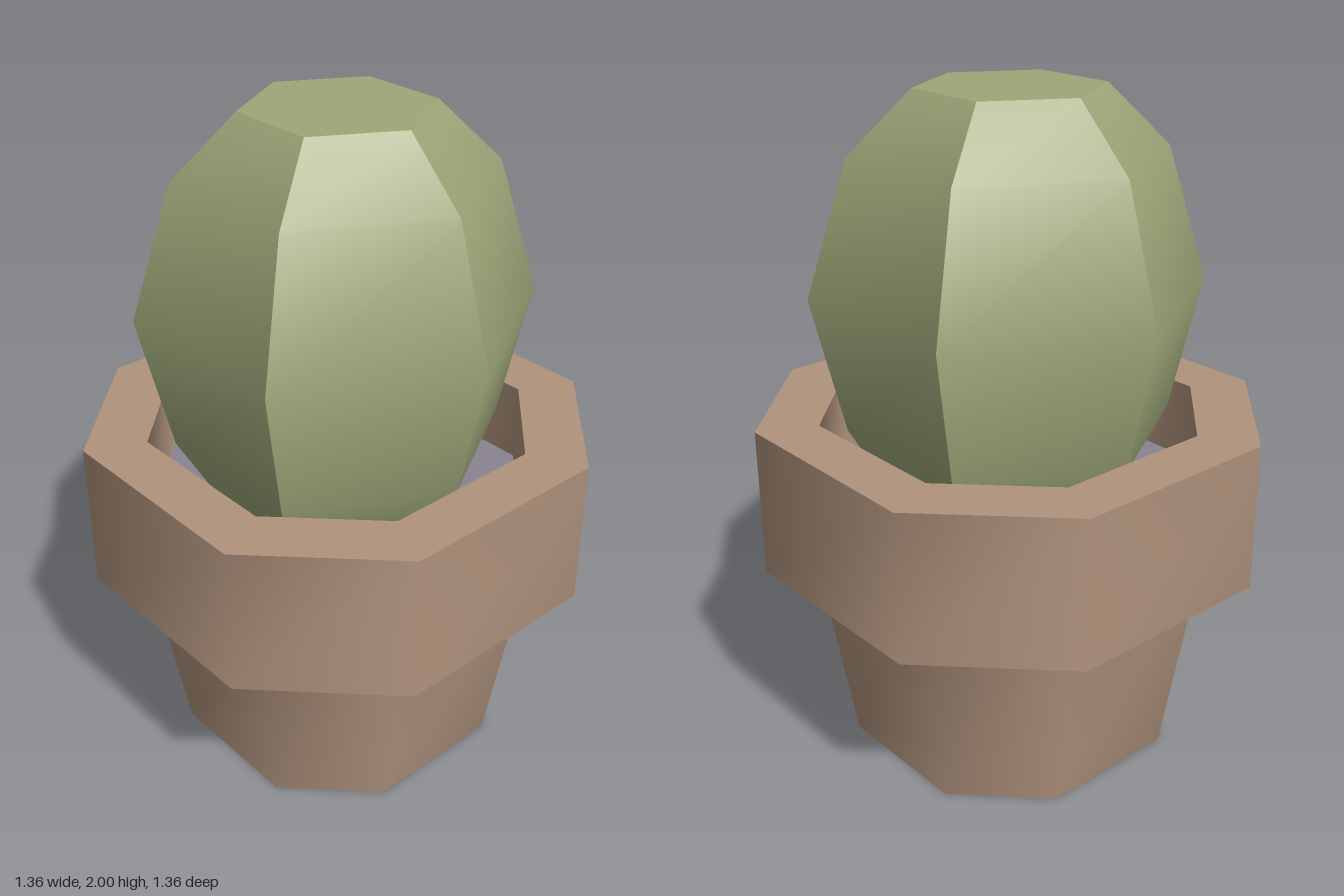
import * as THREE from 'three';
import { mergeGeometries } from 'three/addons/utils/BufferGeometryUtils.js';

const clay = new THREE.MeshStandardMaterial({ color: 0xb0937d });
clay.name = 'clay';
const green = new THREE.MeshStandardMaterial({ color: 0x9da778 });
green.name = 'cactusGreen';
const soilGrey = new THREE.MeshStandardMaterial({ color: 0x8a8492 });
soilGrey.name = 'soilGrey';

// Unit outlines, running from +z towards +x: a square with cut corners, and a hexagon
const c = 0.485;
const octagon = [[-c, 1], [c, 1], [1, c], [1, -c], [c, -1], [-c, -1], [-1, -c], [-1, c]];
const hexagon = Array.from({ length: 6 }, (_, i) => [Math.sin(i * Math.PI / 3), Math.cos(i * Math.PI / 3)]);

// Skin over [radius, y] rings; normals are smooth inside one skin
function skin(points, rings, closed = true) {
  const n = points.length;
  const positions = [];
  const index = [];
  for (const [r, y] of rings) for (const [x, z] of points) positions.push(x * r, y, z * r);
  for (let k = 0; k < rings.length - 1; k++) {
    for (let i = 0; i < (closed ? n : n - 1); i++) {
      const a = k * n + i, b = k * n + (i + 1) % n;
      if (rings[k][0] > 0) index.push(a, b, b + n);
      if (rings[k + 1][0] > 0) index.push(a, b + n, a + n);
      else if (rings[k][0] > 0) index.splice(-1, 1, a + n);
    }
  }
  const geometry = new THREE.BufferGeometry();
  geometry.setAttribute('position', new THREE.Float32BufferAttribute(positions, 3));
  geometry.setIndex(index);
  geometry.computeVertexNormals();
  return geometry;
}

// One separate skin per band, so the edges between bands stay sharp
function bands(points, rings) {
  return mergeGeometries(rings.slice(1).map((ring, k) => skin(points, [rings[k], ring])));
}

export function createModel() {
  const group = new THREE.Group();
  group.name = 'pottedCactus';
  const add = (name, geometry, material) => {
    const mesh = new THREE.Mesh(geometry, material);
    mesh.name = name;
    group.add(mesh);
  };

  // Tapered pot with a closed base
  add('potBody', bands(octagon, [[0, 0], [0.453, 0], [0.543, 0.61]]), clay);

  // Thick rim: underside, outer wall, top and inner wall
  add('potRim', bands(octagon, [[0.543, 0.61], [0.68, 0.61], [0.68, 1.06], [0.515, 1.06], [0.515, 0.82]]), clay);

  // Soil inside the rim
  add('soil', bands(octagon, [[0.515, 0.82], [0, 0.82]]), soilGrey);

  // Six cactus sides, each smooth from bottom to top
  const profile = [[0.37, 0.82], [0.487, 1.02], [0.58, 1.425], [0.456, 1.82], [0.271, 2]];
  const sides = hexagon.map((p, i) => skin([p, hexagon[(i + 1) % 6]], profile, false));
  add('cactusSides', mergeGeometries(sides), green);
  add('cactusTop', bands(hexagon, [[0.271, 2], [0, 2]]), green);

  return group;
}
